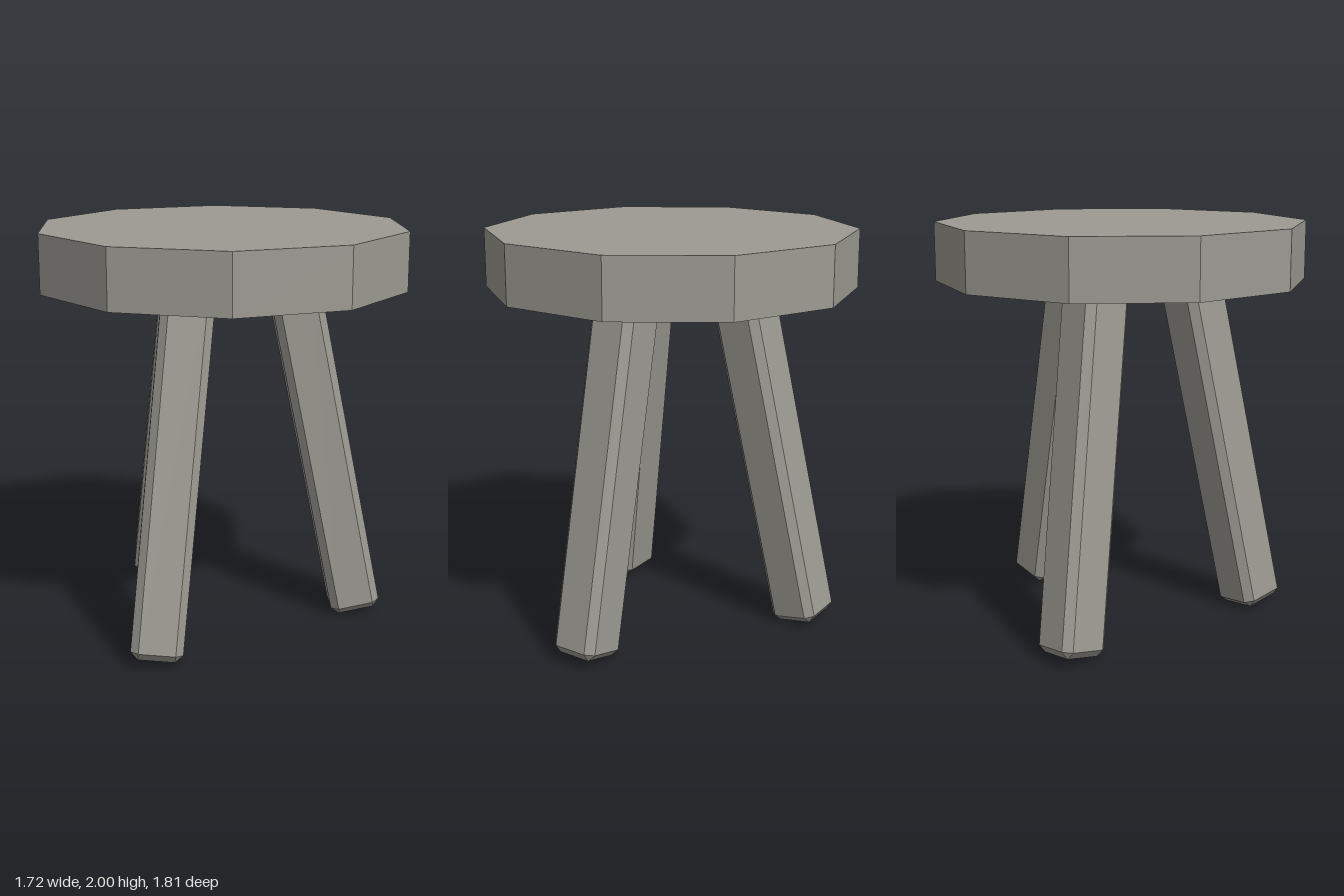
import * as THREE from 'three';
import { ConvexGeometry } from 'three/addons/geometries/ConvexGeometry.js';

// Box with every edge and corner cut by a straight bevel
function bevelledBox(w, h, d, bevel) {
  const points = [];
  for (const sx of [-1, 1]) for (const sy of [-1, 1]) for (const sz of [-1, 1]) {
    for (let axis = 0; axis < 3; axis++) {
      const inset = [bevel, bevel, bevel];
      inset[axis] = 0;
      points.push(new THREE.Vector3(
        sx * (w / 2 - inset[0]), sy * (h / 2 - inset[1]), sz * (d / 2 - inset[2])));
    }
  }
  return new ConvexGeometry(points);
}

export function createModel() {
  const model = new THREE.Group();
  model.name = 'stool';
  const stone = new THREE.MeshStandardMaterial({ color: 0x9c9a92, flatShading: true });
  stone.name = 'warm grey';

  // Ten-sided seat slab
  const seat = new THREE.Mesh(new THREE.CylinderGeometry(0.905, 0.905, 0.285, 10), stone);
  seat.name = 'seat';
  seat.position.y = 2 - 0.285 / 2;
  model.add(seat);

  // Three splayed legs, tilted outwards without twisting, tops sunk into the seat
  const slope = 0.2026, topY = 1.85, footY = 0.025;
  const legGeometry = bevelledBox(0.25, (topY - footY) * Math.hypot(1, slope), 0.25, 0.037);
  const up = new THREE.Vector3(0, 1, 0);
  const names = ['leftLeg', 'backRightLeg', 'frontRightLeg'];
  names.forEach((name, i) => {
    const a = -i * Math.PI * 2 / 3 ;
    const at = (y) => {
      const r = 0.345 + slope * (1.715 - y);
      return new THREE.Vector3(Math.cos(a) * r, y, Math.sin(a) * r);
    };
    const top = at(topY), foot = at(footY);
    const leg = new THREE.Mesh(legGeometry, stone);
    leg.name = name;
    leg.position.copy(top).add(foot).multiplyScalar(0.5);
    leg.quaternion.setFromUnitVectors(up, top.sub(foot).normalize());
    model.add(leg);
  });
  return model;
}
